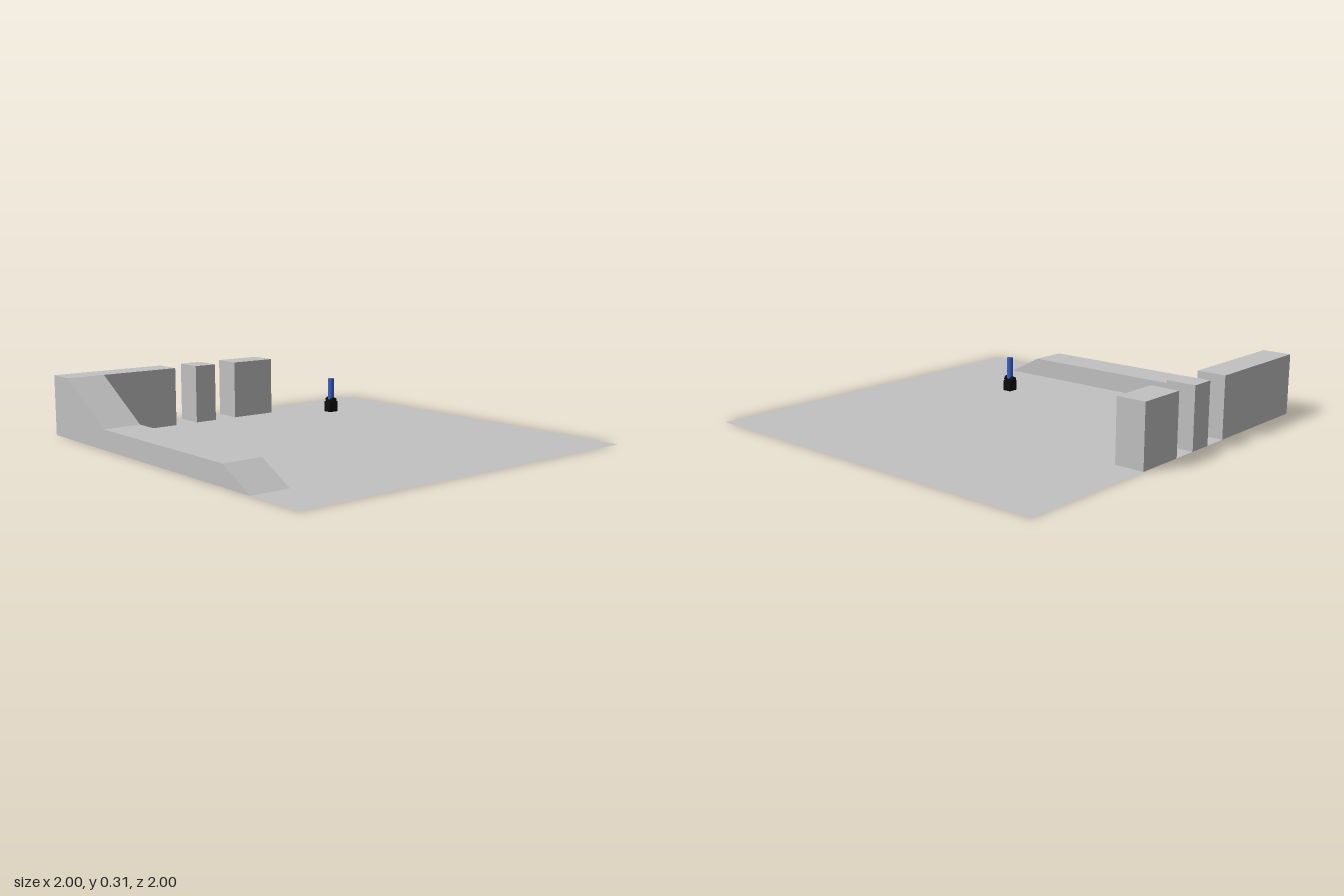
import * as THREE from 'three';

export function createModel() {
  const model = new THREE.Group();
  const concrete = new THREE.MeshStandardMaterial({ color: 0xc2c2c2 });
  concrete.name = 'concrete grey';
  concrete.side = THREE.DoubleSide;
  const black = new THREE.MeshStandardMaterial({ color: 0x0c0c0c });
  black.name = 'black';
  const blue = new THREE.MeshStandardMaterial({ color: 0x3a62cc });
  blue.name = 'blue';

  const add = (parent, name, geometry, material, x = 0, y = 0, z = 0) => {
    const mesh = new THREE.Mesh(geometry, material);
    mesh.name = name;
    mesh.position.set(x, y, z);
    parent.add(mesh);
    return mesh;
  };

  // Flat ground slab without thickness
  add(model, 'floor', new THREE.PlaneGeometry(2, 2).rotateX(-Math.PI / 2), concrete);

  // Ramped wall along the right edge, profile in (z, y)
  const profile = [[0.69, 0], [0.5, 0.1], [-0.5, 0.1], [-0.85, 0.31], [-1, 0.31], [-1, 0]];
  const ramp = new THREE.ExtrudeGeometry(
    new THREE.Shape(profile.map(([z, y]) => new THREE.Vector2(z, y))),
    { depth: 0.2, bevelEnabled: false }
  ).rotateY(-Math.PI / 2);
  add(model, 'rampWall', ramp, concrete, -0.8);

  // Blocks along the back edge
  const blocks = [['backWall', -0.8, -0.375], ['narrowBlock', -0.245, -0.12], ['wideBlock', 0.01, 0.265]];
  for (const [name, x0, x1] of blocks) {
    add(model, name, new THREE.BoxGeometry(x1 - x0, 0.31, 0.15), concrete, (x0 + x1) / 2, 0.155, -0.925);
  }

  // Small floating device: body, cross pin and upright tube
  const device = new THREE.Group();
  device.name = 'device';
  model.add(device);
  add(device, 'body', new THREE.BoxGeometry(0.05, 0.05, 0.042), black, 0, 0.17, 0);
  add(device, 'crossPin', new THREE.CylinderGeometry(0.014, 0.014, 0.054, 16).rotateX(Math.PI / 2), black, 0, 0.202, 0);
  add(device, 'tube', new THREE.CylinderGeometry(0.015, 0.015, 0.105, 16), blue, 0, 0.2575, 0);

  return model;
}
